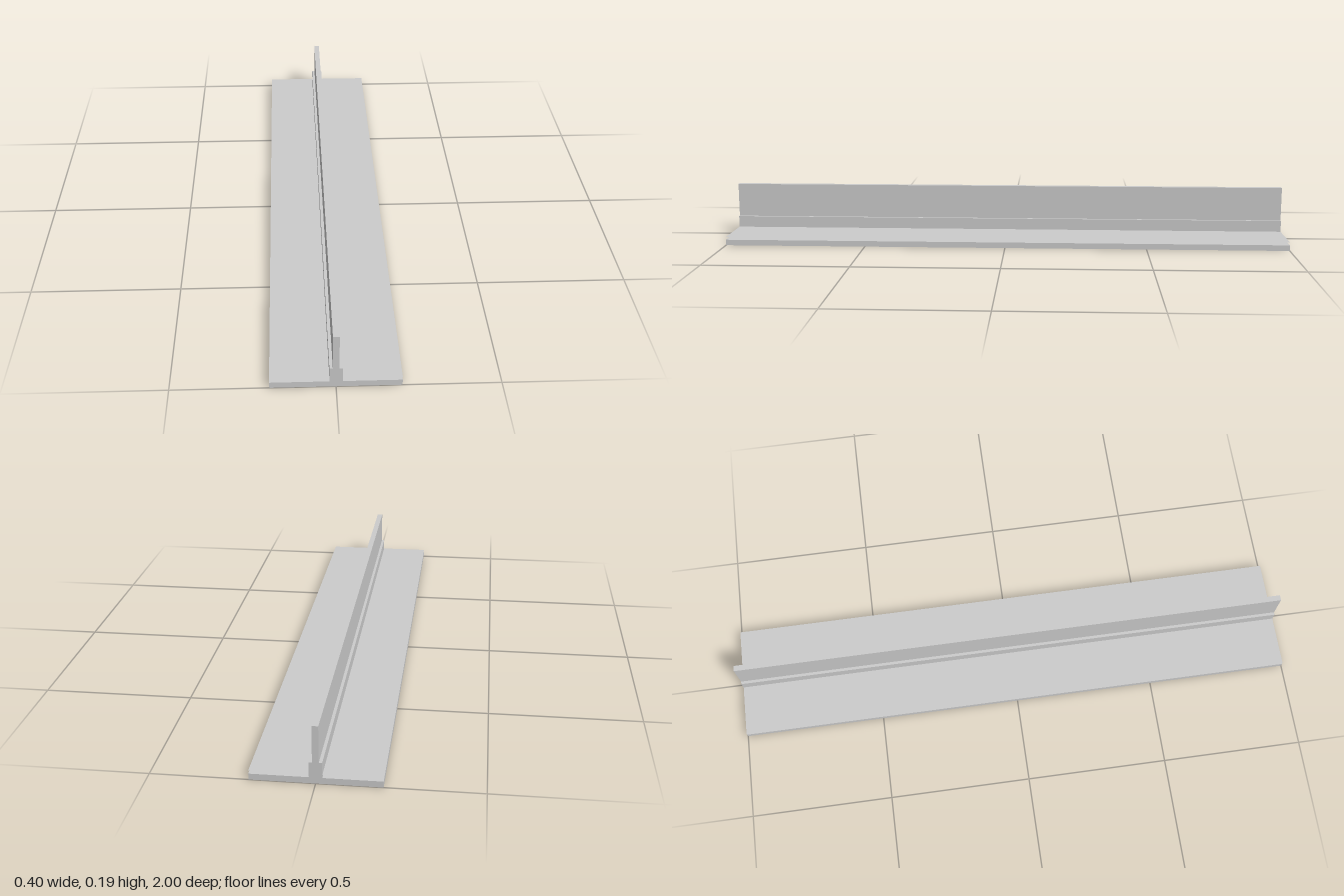
import * as THREE from 'three';

export function createModel() {
  const group = new THREE.Group();
  const material = new THREE.MeshStandardMaterial({ color: 0xcccccc, flatShading: true });
  const sheetMaterial = material.clone();
  sheetMaterial.side = THREE.DoubleSide;
  const length = 2;

  // Stepped T profile: flat flange, thick web foot, thin upright web
  const half = [[0.2, 0], [0.2, 0.02], [0.02, 0.02], [0.02, 0.07], [0.01, 0.07], [0.01, 0.19]];
  const mirrored = half.map(([x, y]) => [-x, y]).reverse();
  const profile = new THREE.Shape([...half, ...mirrored].map(([x, y]) => new THREE.Vector2(x, y)));
  const railGeometry = new THREE.ExtrudeGeometry(profile, { depth: length, bevelEnabled: false });
  railGeometry.translate(0, 0, -length / 2);
  const rail = new THREE.Mesh(railGeometry, material);
  rail.name = 'rail';
  group.add(rail);

  // Thin cover sheets hovering just above the flange, one on each side of the web
  for (const side of [-1, 1]) {
    const sheet = new THREE.Mesh(new THREE.PlaneGeometry(0.18, length), sheetMaterial);
    sheet.rotation.x = -Math.PI / 2;
    sheet.position.set(side * 0.11, 0.03, 0);
    sheet.name = side > 0 ? 'leftCoverSheet' : 'rightCoverSheet';
    group.add(sheet);
  }

  return group;
}
